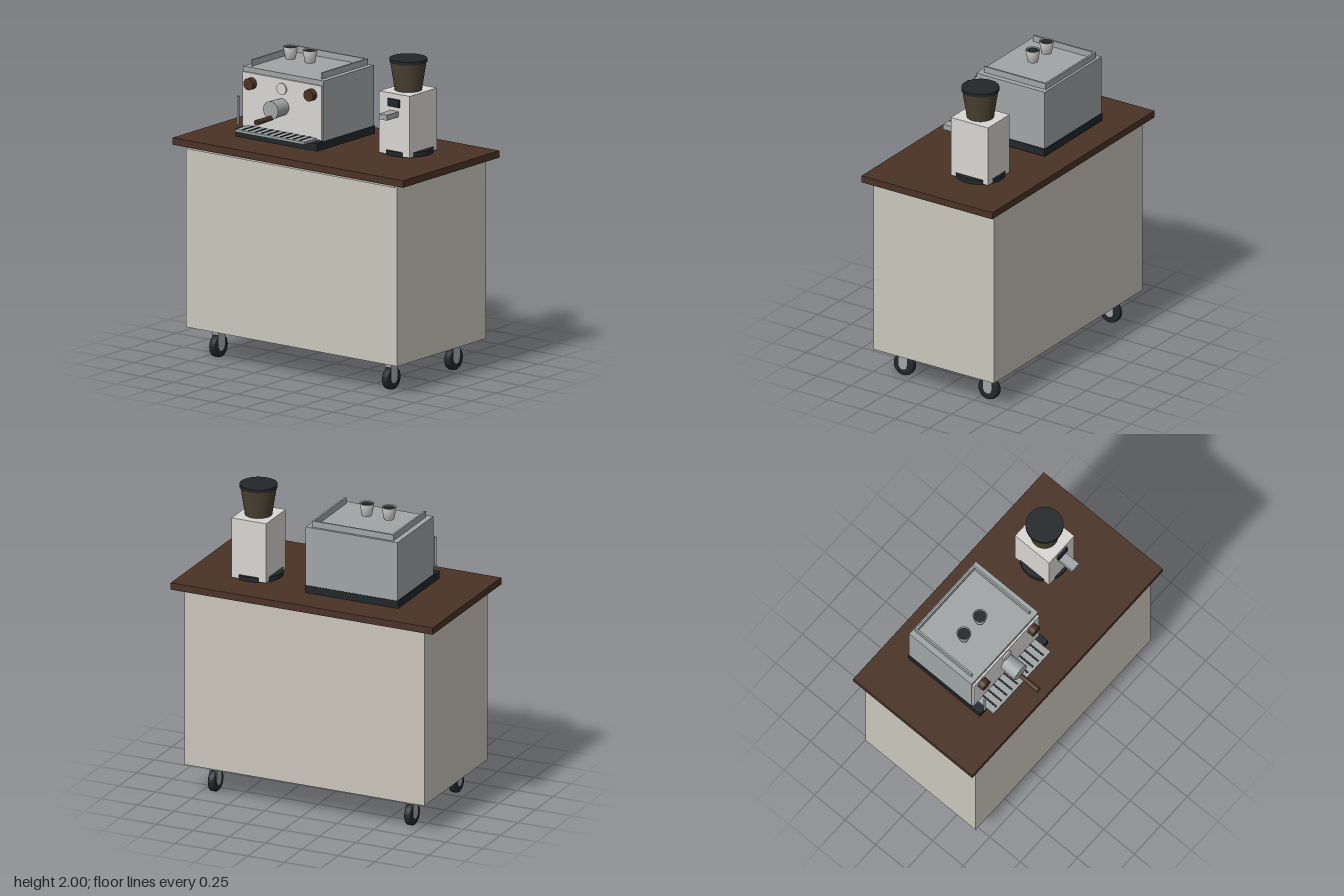
import * as THREE from 'three';

const mat = (color, side = THREE.FrontSide) => new THREE.MeshStandardMaterial({ color, side });
const wood = mat(0x4a3226), cream = mat(0xcac6bc), dark = mat(0x22272a);
const steel = mat(0xa0a5a6), white = mat(0xd8d6d2), smoked = mat(0x4b4131);

export function createModel() {
  const root = new THREE.Group();
  root.name = 'coffeeCart';

  const section = (name) => {
    const g = new THREE.Group();
    g.name = name;
    root.add(g);
    return g;
  };
  const add = (parent, name, geometry, material, x, y, z) => {
    const m = new THREE.Mesh(geometry, material);
    m.name = name;
    m.position.set(x, y, z);
    parent.add(m);
    return m;
  };
  // Box given by its minimum and maximum on each axis
  const box = (parent, name, material, [x0, x1], [y0, y1], [z0, z1]) =>
    add(parent, name, new THREE.BoxGeometry(x1 - x0, y1 - y0, z1 - z0), material,
      (x0 + x1) / 2, (y0 + y1) / 2, (z0 + z1) / 2);
  // Upright cylinder or cone between two heights
  const post = (parent, name, material, rTop, rBottom, [y0, y1], x, z, sides = 32) =>
    add(parent, name, new THREE.CylinderGeometry(rTop, rBottom, y1 - y0, sides), material, x, (y0 + y1) / 2, z);
  // Cylinder pointing forwards between two depths
  const dial = (parent, name, material, rFront, rBack, x, y, [z0, z1], sides = 32) => {
    const m = add(parent, name, new THREE.CylinderGeometry(rFront, rBack, z1 - z0, sides), material, x, y, (z0 + z1) / 2);
    m.rotation.x = Math.PI / 2;
    return m;
  };

  // Cabinet and counter
  const cart = section('cart');
  box(cart, 'cabinet', cream, [-0.825, 0.825], [0.197, 1.355], [-0.45, 0.45]);
  box(cart, 'counterTop', wood, [-0.9, 0.9], [1.355, 1.4], [-0.487, 0.487]);
  box(cart, 'frontTrim', cream, [-0.81, 0.81], [1.335, 1.345], [0.45, 0.458]);

  // Casters: tyre with softened shoulders, hub and fork
  const tyreProfile = [[0.028, -0.023], [0.064, -0.023], [0.071, -0.018], [0.073, -0.01],
    [0.073, 0.01], [0.071, 0.018], [0.064, 0.023], [0.028, 0.023]].map(([r, y]) => new THREE.Vector2(r, y));
  for (const x of [-0.675, 0.675]) for (const z of [-0.315, 0.315]) {
    const caster = section('caster');
    caster.position.set(x, 0.076, z);
    add(caster, 'tyre', new THREE.LatheGeometry(tyreProfile, 28), dark, 0, 0, 0).rotation.z = Math.PI / 2;
    add(caster, 'hub', new THREE.CylinderGeometry(0.031, 0.031, 0.05, 24), steel, 0, 0, 0).rotation.z = Math.PI / 2;
    box(caster, 'forkCrown', steel, [-0.021, 0.021], [0.072, 0.121], [-0.032, 0.032]);
    for (const s of [-1, 1]) {
      add(caster, 'forkPlate', new THREE.BoxGeometry(0.004, 0.085, 0.064), steel, s * 0.023, 0.0435, 0);
    }
  }

  // Espresso machine shell
  const machine = section('espressoMachine');
  const cx = -0.258;
  box(machine, 'base', dark, [-0.579, 0.062], [1.415, 1.465], [-0.315, 0.273]);
  box(machine, 'shell', steel, [-0.573, 0.057], [1.465, 1.85], [-0.312, 0.198]);
  box(machine, 'frontPanel', white, [-0.567, 0.051], [1.472, 1.818], [0.198, 0.211]);

  // Cup rail, open at the front
  box(machine, 'backRail', steel, [-0.537, 0.021], [1.85, 1.89], [-0.295, -0.283]);
  for (const s of [-1, 1]) {
    const x = cx + s * 0.273;
    box(machine, 'sideRail', steel, [x - 0.006, x + 0.006], [1.85, 1.89], [-0.295, 0.165]);
  }

  // Cups
  const cupProfile = [[0, 0], [0.032, 0], [0.046, 0.08], [0.039, 0.08], [0.037, 0.07]]
    .map(([r, y]) => new THREE.Vector2(r, y));
  for (const x of [-0.38, -0.228]) {
    add(machine, 'cup', new THREE.LatheGeometry(cupProfile, 28), mat(0xd8d6d2, THREE.DoubleSide), x, 1.88, -0.032);
    post(machine, 'coffee', dark, 0.038, 0.036, [1.945, 1.955], x, -0.032, 28);
  }

  // Front controls
  for (const s of [-1, 1]) dial(machine, 'knob', wood, 0.037, 0.037, cx + s * 0.235, 1.755, [0.208, 0.252]);
  dial(machine, 'gauge', white, 0.037, 0.037, cx, 1.755, [0.208, 0.221]);
  dial(machine, 'groupHead', steel, 0.058, 0.053, cx, 1.64, [0.208, 0.328]);
  dial(machine, 'portafilterHandle', wood, 0.018, 0.015, cx, 1.59, [0.31, 0.475], 16);
  post(machine, 'steamWand', steel, 0.008, 0.008, [1.5, 1.68], -0.546, 0.284, 12);

  // Drip tray with dark slots
  box(machine, 'dripTray', steel, [-0.527, 0.012], [1.465, 1.481], [0.2, 0.338]);
  for (let i = 0; i < 10; i++) {
    const x = cx + (i - 4.5) * 0.0495;
    box(machine, 'traySlot', dark, [x - 0.006, x + 0.006], [1.476, 1.484], [0.205, 0.323]);
  }

  // Grinder
  const grinder = section('grinder');
  const gx = 0.477, gz = -0.114;
  post(grinder, 'grinderBase', dark, 0.156, 0.156, [1.404, 1.434], gx, gz);
  box(grinder, 'grinderBody', white, [0.358, 0.596], [1.407, 1.8], [-0.252, 0.026]);
  box(grinder, 'display', dark, [0.432, 0.521], [1.717, 1.766], [0.02, 0.04]);
  box(grinder, 'chute', steel, [0.445, 0.509], [1.655, 1.69], [0.02, 0.142]);
  post(grinder, 'hopper', smoked, 0.113, 0.085, [1.8, 1.982], gx, gz);
  post(grinder, 'hopperLid', dark, 0.118, 0.118, [1.98, 2], gx, gz);

  return root;
}
